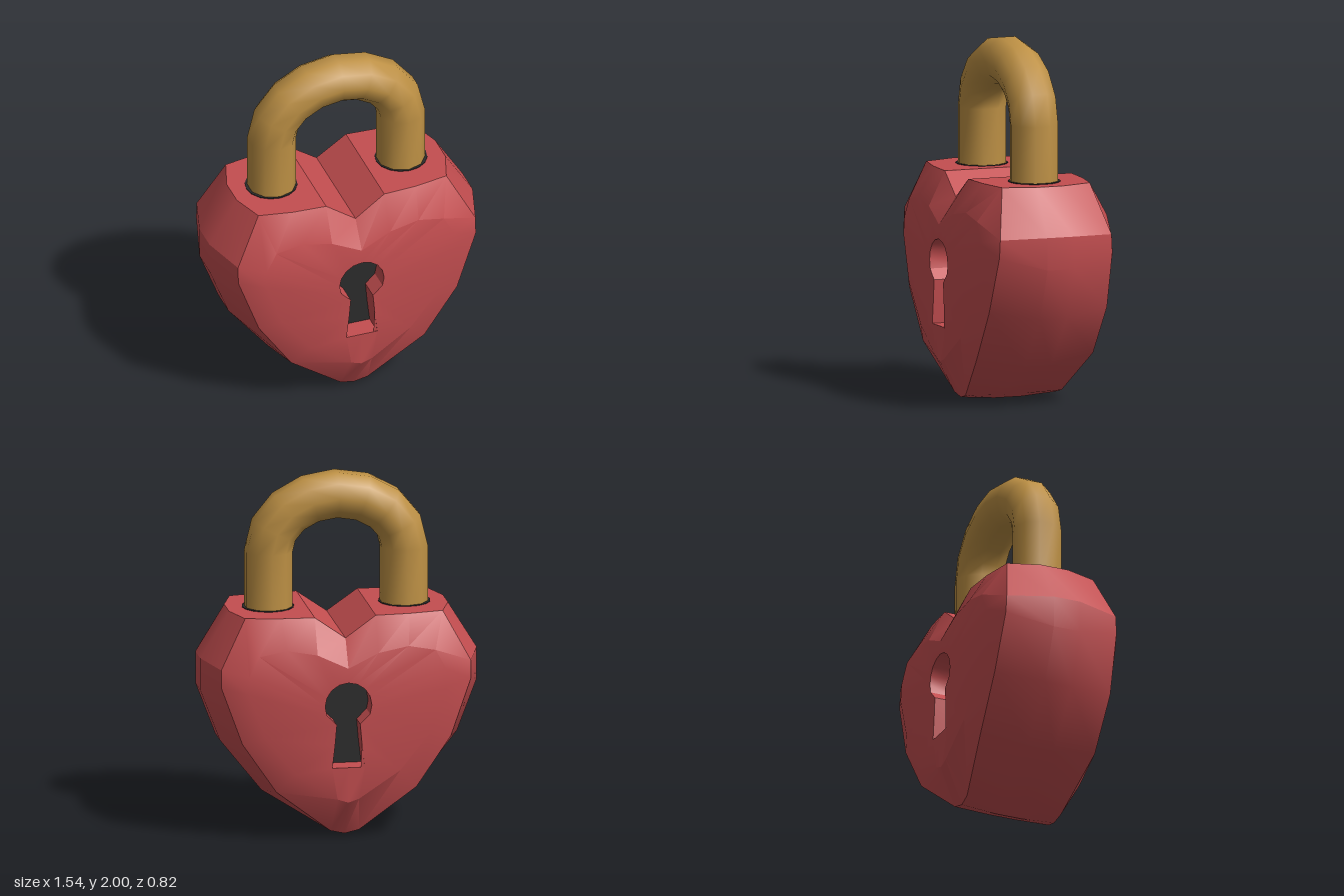
import * as THREE from 'three';
import { toCreasedNormals } from 'three/addons/utils/BufferGeometryUtils.js';

const red = new THREE.MeshStandardMaterial({ color: 0xc44e50 });
red.name = 'red body';
const gold = new THREE.MeshStandardMaterial({ color: 0xbd9044 });
gold.name = 'gold shackle';
const dark = new THREE.MeshStandardMaterial({ color: 0x2b2b2b });
dark.name = 'dark holes';

// Skin a list of closed rings that all have the same number of points
function loft(rings) {
  const n = rings[0].length;
  const index = [];
  for (let i = 0; i < rings.length - 1; i++) {
    for (let j = 0; j < n; j++) {
      const a = i * n + j, b = i * n + (j + 1) % n;
      index.push(a, b, b + n, a, b + n, a + n);
    }
  }
  const geometry = new THREE.BufferGeometry();
  geometry.setAttribute('position', new THREE.Float32BufferAttribute(rings.flat(2), 3));
  geometry.setIndex(index);
  geometry.computeVertexNormals();
  return geometry;
}

// Complete a half outline (top to bottom, +x side) with its mirror image
const mirrorX = (half) => [
  ...half,
  ...half.slice(1, -1).reverse().map(([x, y, z]) => [-x, y, z]),
];
const atDepth = (points, z) => points.map(([x, y]) => [x, y, z]);

// Half outlines, from the keyhole outwards to the widest heart
const keyhole = [[0, 0.9], [0.05, 0.89], [0.092, 0.862], [0.12, 0.82], [0.13, 0.77],
  [0.12, 0.72], [0.065, 0.665], [0.075, 0.55], [0.09, 0.42], [0, 0.42]];
const face = [[0, 0.98, 0.41], [0.17, 1.06, 0.4], [0.34, 1.09, 0.39], [0.49, 1.06, 0.385], [0.55, 0.95, 0.39],
  [0.55, 0.85, 0.395], [0.46, 0.6, 0.4], [0.29, 0.39, 0.4], [0.06, 0.24, 0.405], [0, 0.22, 0.405]];
const bevel = [[0, 1.13, 0.31], [0.17, 1.25, 0.305], [0.36, 1.25, 0.295], [0.55, 1.25, 0.26], [0.695, 0.98, 0.33],
  [0.695, 0.88, 0.335], [0.58, 0.56, 0.35], [0.39, 0.28, 0.345], [0.08, 0.035, 0.285], [0, 0.015, 0.28]];
const rim = [[0, 1.13], [0.17, 1.25], [0.38, 1.25], [0.61, 1.25], [0.77, 0.99],
  [0.77, 0.81], [0.66, 0.52], [0.43, 0.23], [0.085, 0.03], [0, 0]];

export function createModel() {
  const model = new THREE.Group();
  model.name = 'heartPadlock';
  const add = (name, geometry, material) => {
    const mesh = new THREE.Mesh(geometry, material);
    mesh.name = name;
    model.add(mesh);
    return mesh;
  };

  // Heart body with a recessed keyhole in both faces
  const frontRings = [atDepth(keyhole, 0.29), atDepth(keyhole, 0.412), face, bevel, atDepth(rim, 0.08)].map(mirrorX);
  const backRings = frontRings.map((ring) => ring.map(([x, y, z]) => [x, y, -z])).reverse();
  add('heartBody', toCreasedNormals(loft([...frontRings, ...backRings]), 0.5), red);

  // Dark floors of the keyholes
  const outline = new THREE.Shape(mirrorX(keyhole).map(([x, y]) => new THREE.Vector2(x, y)));
  for (const side of [1, -1]) {
    const floor = add(side > 0 ? 'frontKeyhole' : 'backKeyhole', new THREE.ShapeGeometry(outline), dark);
    floor.position.z = side * 0.29;
    if (side < 0) floor.rotation.y = Math.PI;
  }

  // Dark sockets where the shackle enters the body
  for (const side of [1, -1]) {
    const socket = add(side > 0 ? 'leftSocket' : 'rightSocket', new THREE.CylinderGeometry(0.145, 0.145, 0.008, 16), dark);
    socket.position.set(side * 0.38, 1.25, 0);
  }

  // Shackle: ten-sided tube along two legs and a faceted arch
  const tubeRing = (x, y, nx, ny) => Array.from({ length: 10 }, (_, j) => {
    const t = ((j + 0.5) / 10) * Math.PI * 2;
    const r = Math.cos(t) * 0.135;
    return [x + nx * r, y + ny * r, -Math.sin(t) * 0.137];
  });
  const rings = [tubeRing(0.377, 1.15, 1, 0)];
  for (let i = 0; i <= 8; i++) {
    const a = (i / 8) * Math.PI;
    const normal = new THREE.Vector2(Math.cos(a) / 0.377, Math.sin(a) / 0.307).normalize();
    rings.push(tubeRing(0.377 * Math.cos(a), 1.565 + 0.307 * Math.sin(a), normal.x, normal.y));
  }
  rings.push(tubeRing(-0.377, 1.15, -1, 0));
  add('shackle', loft(rings), gold);

  return model;
}
